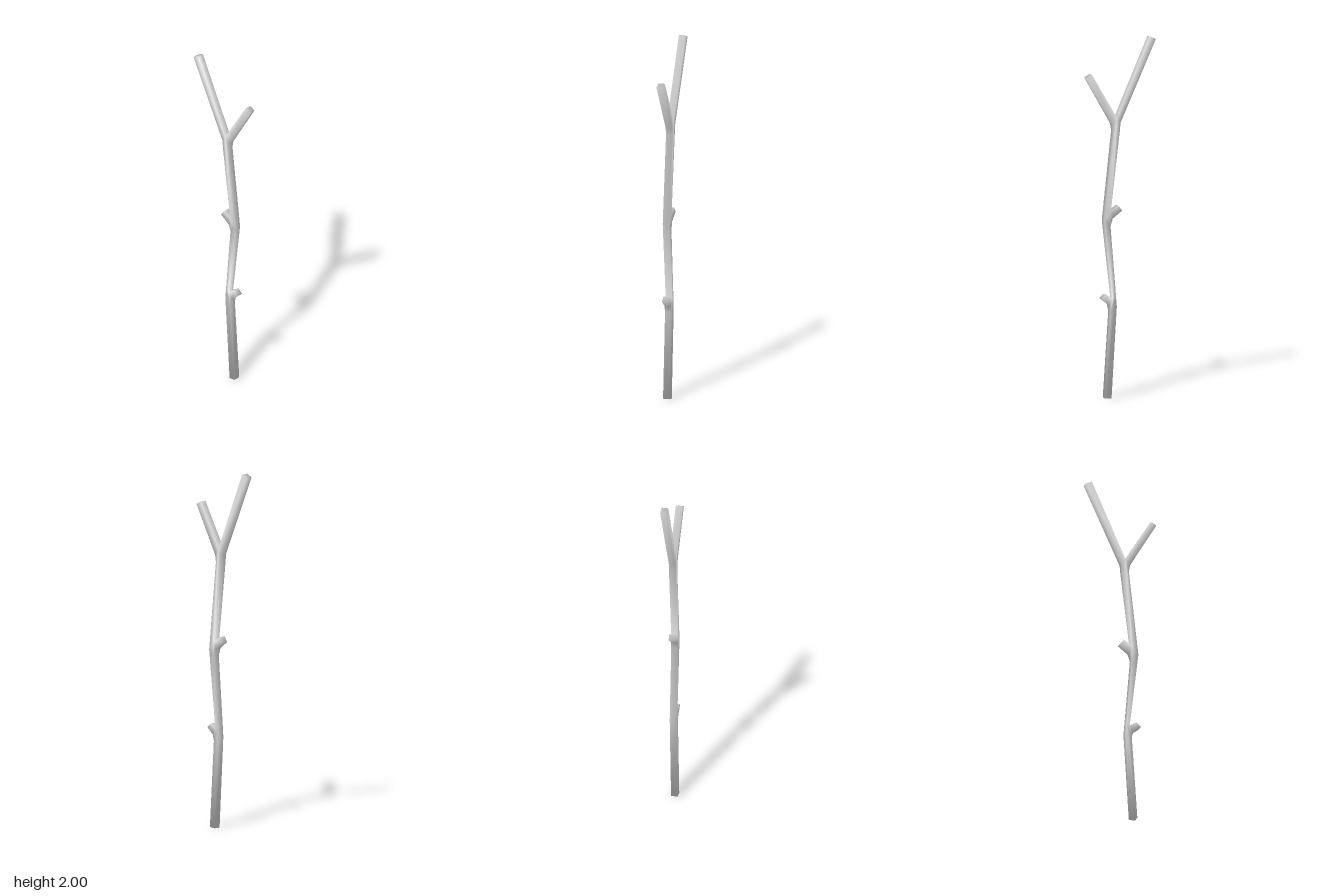
import * as THREE from 'three';

// Square-section stick: a side outline (z, y), given thickness along x,
// with normals blended softly around every corner.
function thickOutline(points, half) {
  const pts = points.map(([z, y]) => new THREE.Vector2(z, y));
  const n = pts.length;
  const position = [], normal = [], index = [];

  // outward normal of the outline edge that starts at point i
  const edgeNormal = (i) => {
    const d = pts[(i + 1) % n].clone().sub(pts[i % n]).normalize();
    return new THREE.Vector2(d.y, -d.x);
  };

  pts.forEach((p, i) => {
    const side = edgeNormal(i).add(edgeNormal(i + n - 1));
    if (side.length() < 1.6) side.setLength(Math.SQRT2); // end and crotch corners
    else side.normalize();
    for (const s of [-1, 1]) {
      position.push(s * half, p.y, p.x);
      normal.push(...new THREE.Vector3(s, side.y, side.x).normalize().toArray());
    }
    // edge strip
    const a = 2 * i, b = a + 1, d = 2 * ((i + 1) % n), c = d + 1;
    index.push(a, b, c, a, c, d);
  });

  // left and right faces
  for (const [p, q, r] of THREE.ShapeUtils.triangulateShape(pts, [])) {
    index.push(2 * p, 2 * q, 2 * r, 2 * r + 1, 2 * q + 1, 2 * p + 1);
  }

  const geometry = new THREE.BufferGeometry();
  geometry.setAttribute('position', new THREE.Float32BufferAttribute(position, 3));
  geometry.setAttribute('normal', new THREE.Float32BufferAttribute(normal, 3));
  geometry.setIndex(index);
  return geometry;
}

export function createModel() {
  const outline = [
    // lower trunk, front edge
    [0.094, 0.003], [0.062, 0.485],
    // lower twig stub
    [0.071, 0.522], [0.115, 0.556], [0.089, 0.58], [0.05, 0.556],
    // trunk bend and upper trunk, front edge
    [0.1, 0.99], [0.045, 1.485],
    // front fork branch
    [0.052, 1.525], [0.204, 1.788], [0.172, 1.806], [0.025, 1.56],
    // rear fork branch
    [-0.169, 2.0], [-0.204, 1.984], [0.004, 1.53],
    // upper trunk, back edge
    [0.008, 1.487], [0.061, 1.04],
    // upper twig stub
    [0.016, 1.07], [-0.006, 1.042], [0.05, 1.0], [0.063, 0.958],
    // lower trunk, back edge
    [0.031, 0.57], [0.026, 0.51], [0.057, 0],
  ];
  const stick = new THREE.Mesh(
    thickOutline(outline, 0.019),
    new THREE.MeshStandardMaterial({ color: 0xcccccc })
  );
  stick.name = 'forkedStick';

  const group = new THREE.Group();
  group.name = 'branch';
  group.add(stick);
  return group;
}
